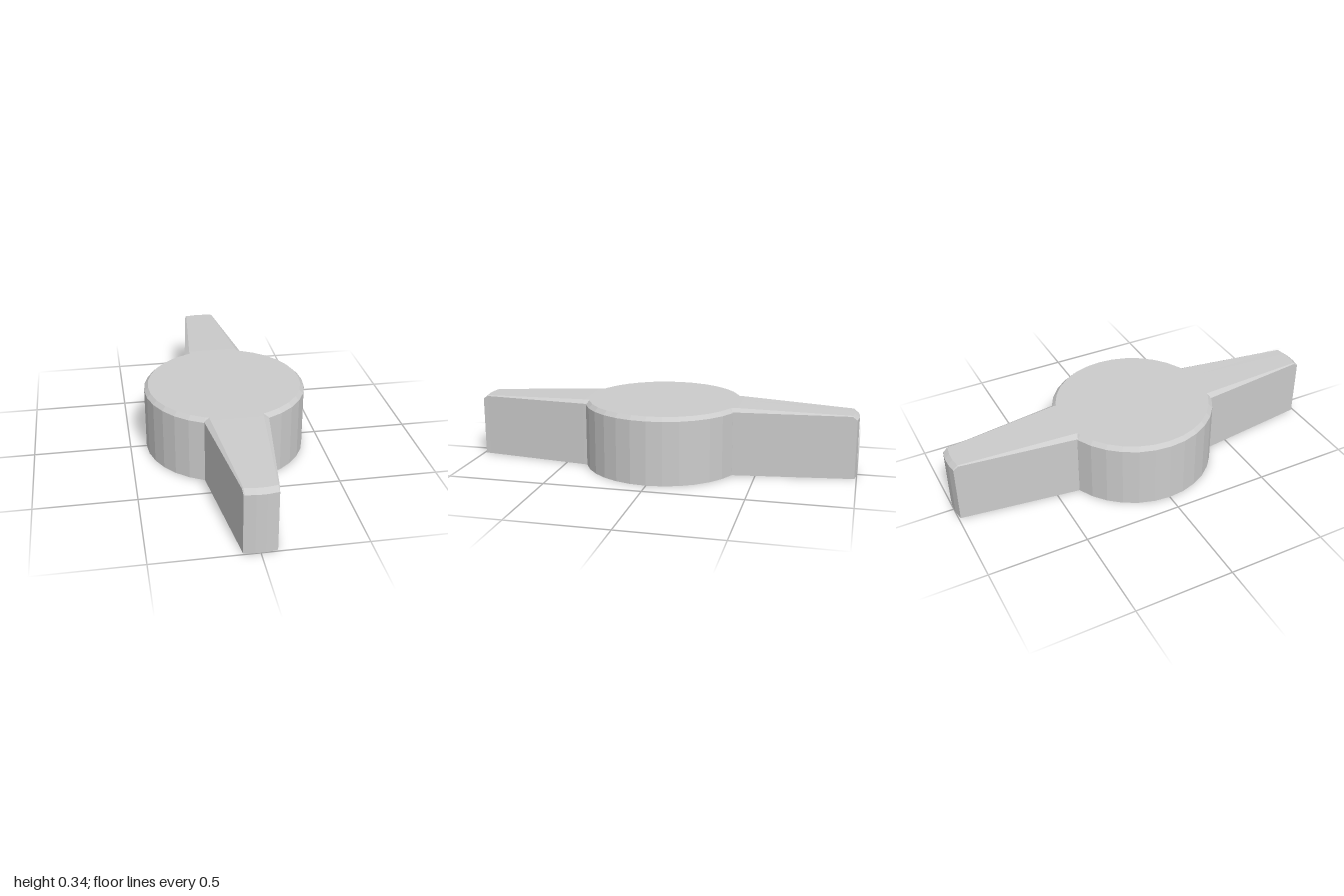
import * as THREE from 'three';

const material = new THREE.MeshStandardMaterial({ color: 0xcccccc, flatShading: true });

// Tapered wing pointing to +z, lofted from cross-sections
function wingGeometry() {
  // z, half width, half width of the flat top, edge height, top height
  const stations = [
    [0.3, 0.168, 0.138, 0.329, 0.345],
    [0.4, 0.156, 0.13, 0.328, 0.345],
    [0.965, 0.082, 0.076, 0.321, 0.325],
    [0.99, 0.079, 0.074, 0.303, 0.305],
  ];
  const positions = [];
  const quad = (a, b, c, d) => positions.push(...a, ...b, ...c, ...a, ...c, ...d);
  const rings = stations.map(([z, w, t, edge, top], i) => {
    // the two outermost sections bow around the hub axis
    const bow = (x) => (i < 2 ? z : z + 0.01 * (1 - (x / w) ** 2));
    const section = [[-w, 0], [-w, edge], [-t, top], [-t / 3, top], [t / 3, top], [t, top],
      [w, edge], [w, 0], [t, 0], [t / 3, 0], [-t / 3, 0], [-t, 0]];
    return section.map(([x, y]) => [x, y, bow(x)]);
  });
  for (let i = 0; i < rings.length - 1; i++) {
    const a = rings[i], b = rings[i + 1];
    for (let j = 0; j < a.length; j++) {
      const k = (j + 1) % a.length;
      quad(a[j], b[j], b[k], a[k]);
    }
  }
  // End face in vertical strips: bottom points paired with top points
  const end = rings[rings.length - 1];
  const bottom = [0, 11, 10, 9, 8, 7], top = [1, 2, 3, 4, 5, 6];
  for (let j = 0; j < 5; j++) {
    quad(end[bottom[j]], end[bottom[j + 1]], end[top[j + 1]], end[top[j]]);
  }
  const geometry = new THREE.BufferGeometry();
  geometry.setAttribute('position', new THREE.Float32BufferAttribute(positions, 3));
  geometry.computeVertexNormals();
  return geometry;
}

export function createModel() {
  const group = new THREE.Group();
  group.name = 'wingKnob';

  // Round hub with a chamfered top rim
  const profile = [[0, 0], [0.415, 0], [0.415, 0.325], [0.395, 0.345], [0, 0.345]]
    .map(([x, y]) => new THREE.Vector2(x, y));
  const hub = new THREE.Mesh(new THREE.LatheGeometry(profile, 32), material);
  hub.name = 'hub';
  group.add(hub);

  // Opposed front and back wings
  const geometry = wingGeometry();
  ['frontWing', 'backWing'].forEach((name, i) => {
    const wing = new THREE.Mesh(geometry, material);
    wing.name = name;
    wing.rotation.y = i * Math.PI;
    group.add(wing);
  });
  return group;
}
